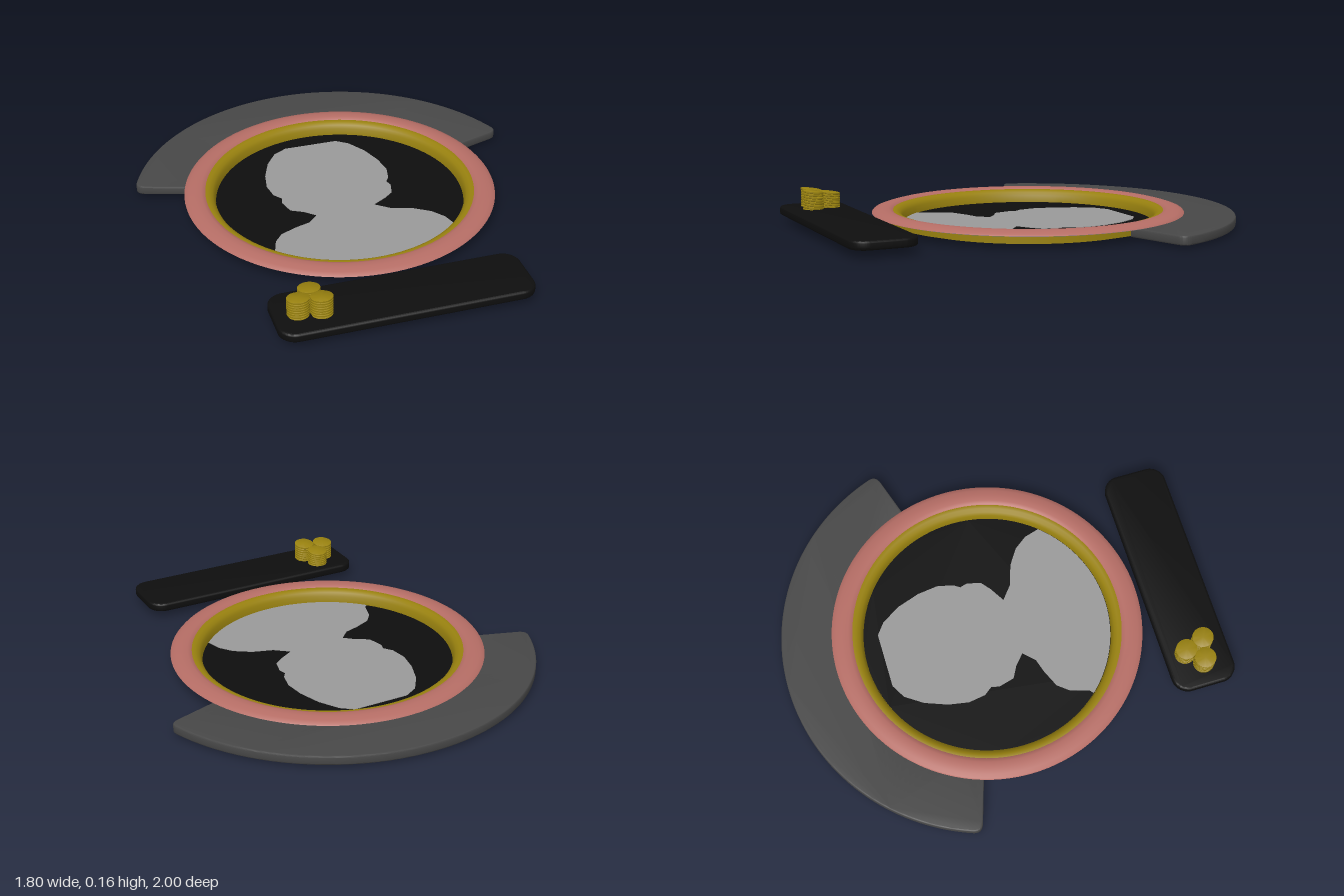
import * as THREE from 'three';
import { toCreasedNormals } from 'three/addons/utils/BufferGeometryUtils.js';

const CZ = -0.042; // z of the centre shared by dish, ring and fan

const makeMaterial = (name, color, options = {}) => {
  const m = new THREE.MeshStandardMaterial({ color, ...options });
  m.name = name;
  return m;
};
const points = (list) => list.map(([x, y]) => new THREE.Vector2(x, y));

export function createModel() {
  const gold = makeMaterial('gold', 0x98810f);
  const rose = makeMaterial('rose', 0xb56d65);
  const pale = makeMaterial('paleGrey', 0xc4c4c4);
  const grey = makeMaterial('midGrey', 0x999999);
  const charcoal = makeMaterial('charcoal', 0x474747);
  const black = makeMaterial('black', 0x0e0e0e);

  const group = new THREE.Group();
  const add = (name, geometry, material, x = 0, y = 0, z = 0) => {
    const mesh = new THREE.Mesh(geometry, material);
    mesh.name = name;
    mesh.position.set(x, y, z);
    group.add(mesh);
    return mesh;
  };
  const lathe = (list, segments = 128) =>
    toCreasedNormals(new THREE.LatheGeometry(points(list), segments), 0.6);
  // Flat slab lying on y = 0: shape x is x, shape y is -z
  const slab = (shape, height, bevel = 0, curveSegments = 48) => {
    const g = new THREE.ExtrudeGeometry(shape, {
      depth: height - 2 * bevel, curveSegments, bevelEnabled: bevel > 0,
      bevelSize: bevel, bevelOffset: -bevel, bevelThickness: bevel, bevelSegments: 3,
    });
    g.translate(0, 0, bevel);
    g.rotateX(-Math.PI / 2);
    return toCreasedNormals(g, 0.6);
  };

  // Gold dish rim with a stepped foot
  add('dishRim', lathe([
    [0.568, 0], [0.578, 0], [0.578, 0.015], [0.65, 0.017], [0.65, 0.056],
    [0.625, 0.068], [0.608, 0.066], [0.592, 0.056], [0.582, 0.04],
    [0.579, 0.006], [0.568, 0.006], [0.568, 0],
  ]), gold, 0, 0, CZ);

  // Rose ring: domed top and pale underside
  add('outerRing', lathe([
    [0.723, 0.058], [0.718, 0.064], [0.70, 0.07], [0.675, 0.0765],
    [0.645, 0.0765], [0.63, 0.072], [0.622, 0.064],
  ]), rose, 0, 0, CZ);
  add('ringUnderside', lathe([
    [0.63, 0.053], [0.68, 0.053], [0.71, 0.054], [0.723, 0.058],
  ]), pale, 0, 0, CZ);

  // Black dish floor
  const floor = new THREE.Shape();
  floor.absarc(0, 0, 0.579, 0, Math.PI * 2);
  add('dishFloor', slab(floor, 0.004), black, 0, 0.004, CZ);

  // Head and shoulders silhouette, a thin plate showing on both sides of the floor
  const outline = [
    [-0.43, -0.36], [-0.415, -0.335], [-0.385, -0.24], [-0.345, -0.19], [-0.265, -0.155],
    [-0.20, -0.135], [-0.15, -0.085], [-0.20, -0.04], [-0.255, -0.01], [-0.275, 0.065],
    [-0.265, 0.10], [-0.295, 0.14], [-0.307, 0.22], [-0.29, 0.315], [-0.25, 0.42],
    [-0.195, 0.50], [-0.13, 0.537], [0.13, 0.537], [0.185, 0.495], [0.24, 0.405],
    [0.275, 0.30], [0.287, 0.205], [0.27, 0.13], [0.25, 0.10], [0.26, 0.065],
    [0.243, 0], [0.20, -0.035], [0.13, -0.077], [0.195, -0.13], [0.29, -0.16],
    [0.365, -0.21], [0.41, -0.27], [0.432, -0.345],
  ].map(([x, y]) => [x, y - CZ * -1 + 0.084]);
  const figure = new THREE.Shape(points(outline.map(([x, y]) => [x, y - 0.084])));
  const a0 = Math.atan2(-0.387, 0.432);
  figure.absarc(0, 0, 0.577, a0, -Math.PI - a0, true);
  add('silhouette', slab(figure, 0.009), grey, 0, 0.0015, CZ);

  // Fan-shaped shelf wrapping the back, with rounded outer corners
  const R = 0.958, r = 0.645, a = 0.31, b = Math.PI - a, d = 0.045;
  const at = (radius, angle) => [radius * Math.cos(angle), radius * Math.sin(angle)];
  const fan = new THREE.Shape();
  fan.moveTo(...at(r, a));
  fan.lineTo(...at(R - d, a));
  fan.quadraticCurveTo(...at(R, a), ...at(R, a + d));
  fan.absarc(0, 0, R, a + d, b - d, false);
  fan.quadraticCurveTo(...at(R, b), ...at(R - d, b));
  fan.lineTo(...at(r, b));
  fan.absarc(0, 0, r, b, a, true);
  add('backFan', slab(fan, 0.042, 0.007), charcoal, 0, 0.011, CZ);

  // Front bar with rounded corners
  const w = 0.56, h = 0.15, c = 0.075;
  const bar = new THREE.Shape();
  bar.absarc(w - c, h - c, c, 0, Math.PI / 2);
  bar.absarc(-w + c, h - c, c, Math.PI / 2, Math.PI);
  bar.absarc(-w + c, -h + c, c, Math.PI, Math.PI * 1.5);
  bar.absarc(w - c, -h + c, c, Math.PI * 1.5, Math.PI * 2);
  add('frontBar', slab(bar, 0.04, 0.01, 12), black, 0, 0.034, 0.85);

  // Three ridged coin stacks, sloping up towards the front
  const slope = 0.135, base = 0.05;
  for (const [x, z] of [[-0.39, 0.793], [-0.455, 0.861], [-0.36, 0.881]]) {
    const height = 0.146 + slope * (z - 0.793) - base;
    const coins = 9, step = height / coins;
    const profile = [[0, 0]];
    for (let i = 0; i < coins; i++) {
      const y = i * step;
      profile.push([0.044, y], [0.048, y + step * 0.2], [0.048, y + step * 0.8], [0.044, y + step]);
    }
    profile.push([0, height]);
    const g = new THREE.LatheGeometry(points(profile), 32);
    const p = g.attributes.position;
    for (let i = 0; i < p.count; i++) p.setY(i, p.getY(i) + slope * p.getZ(i));
    add('coinStack', toCreasedNormals(g, 0.6), gold, x, base, z);
  }

  return group;
}
